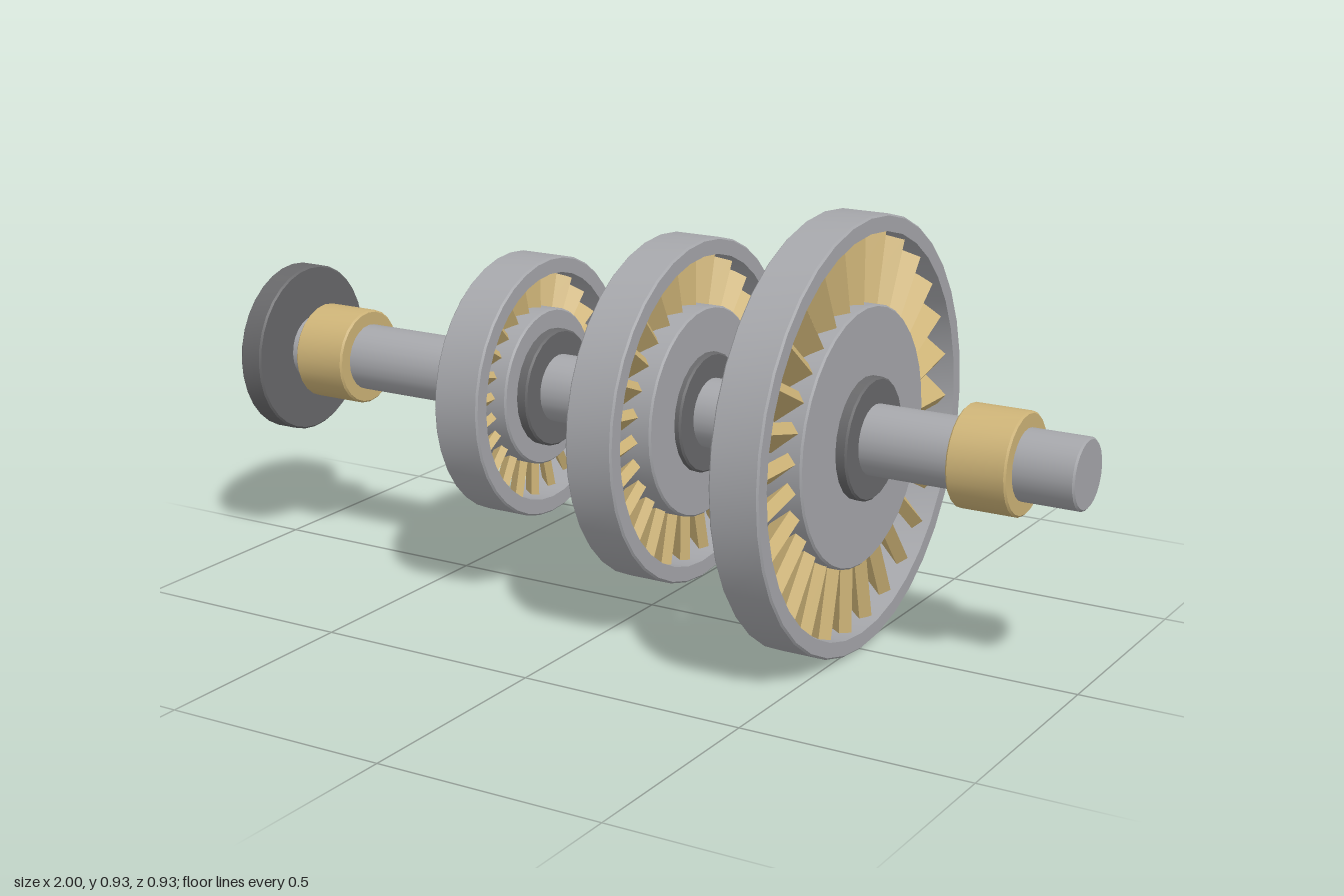
import * as THREE from 'three';
import { toCreasedNormals } from 'three/addons/utils/BufferGeometryUtils.js';

const AXIS_Y = 0.463;

const material = (name, color) => {
  const m = new THREE.MeshStandardMaterial({ color });
  m.name = name;
  return m;
};

// Bevelled ring or solid disc turned around the x axis, from x0 to x1
function turned(name, mat, x0, x1, outer, inner = 0, sides = 24, bevel = 0.004) {
  const b = bevel;
  const profile = [
    [inner, x0], [outer - b, x0], [outer, x0 + b],
    [outer, x1 - b], [outer - b, x1], [inner, x1],
  ];
  if (inner > 0) profile.push([inner, x0]);
  const lathe = new THREE.LatheGeometry(profile.map(([r, x]) => new THREE.Vector2(r, x)), sides);
  lathe.rotateZ(-Math.PI / 2);
  const mesh = new THREE.Mesh(toCreasedNormals(lathe, 0.5), mat);
  mesh.name = name;
  return mesh;
}

export function createModel() {
  const steel = material('steel', 0xa5a6aa);
  const darkSteel = material('dark steel', 0x68686a);
  const brass = material('brass', 0xcdb377);

  const model = new THREE.Group();
  model.name = 'turbineRotor';
  const rotor = new THREE.Group();
  rotor.name = 'rotor';
  rotor.position.y = AXIS_Y;
  model.add(rotor);

  // Shaft and its two bearing sleeves
  rotor.add(turned('shaft', steel, -0.975, 1.0, 0.075));
  rotor.add(turned('bearingLeft', brass, 0.74, 0.87, 0.108, 0.07));
  rotor.add(turned('bearingRight', brass, -0.89, -0.76, 0.108, 0.07));

  // Coupling flange with six bolts
  rotor.add(turned('couplingFlange', darkSteel, -0.982, -0.925, 0.193, 0, 32));
  for (let i = 0; i < 6; i++) {
    const a = (i / 6) * Math.PI * 2;
    const bolt = turned('flangeBolt', steel, -1.0, -0.975, 0.014, 0, 12, 0.001);
    bolt.position.set(0, Math.cos(a) * 0.142, Math.sin(a) * 0.142);
    rotor.add(bolt);
  }

  // Bladed wheels, growing towards the left end
  const wheels = [
    { name: 'smallWheel', x: -0.313, radius: 0.29, disc: 0.174, half: 0.05, blades: 24 },
    { name: 'middleWheel', x: 0.073, radius: 0.373, disc: 0.228, half: 0.06, blades: 26 },
    { name: 'largeWheel', x: 0.46, radius: 0.463, disc: 0.277, half: 0.05, blades: 28 },
  ];
  for (const w of wheels) {
    const wheel = new THREE.Group();
    wheel.name = w.name;
    wheel.position.x = w.x;
    const rimInner = w.radius - 0.036;
    wheel.add(turned('hub', darkSteel, -0.074, 0.074, 0.13, 0.07));
    wheel.add(turned('disc', steel, -w.half, w.half, w.disc, 0.07, 36));
    wheel.add(turned('rim', steel, -0.055, 0.055, w.radius, rimInner, 36));

    // Pitched blades between disc and rim
    const size = w.radius / 0.463;
    const length = rimInner - w.disc + 0.016;
    const bladeGeometry = new THREE.BoxGeometry(0.028 * size, length, 0.072 * size);
    bladeGeometry.rotateY(-50 * Math.PI / 180);
    bladeGeometry.translate(0, (rimInner + w.disc) / 2, 0);
    for (let i = 0; i < w.blades; i++) {
      const blade = new THREE.Mesh(bladeGeometry, brass);
      blade.name = 'blade';
      blade.rotation.x = (i / w.blades) * Math.PI * 2;
      wheel.add(blade);
    }
    rotor.add(wheel);
  }
  return model;
}
